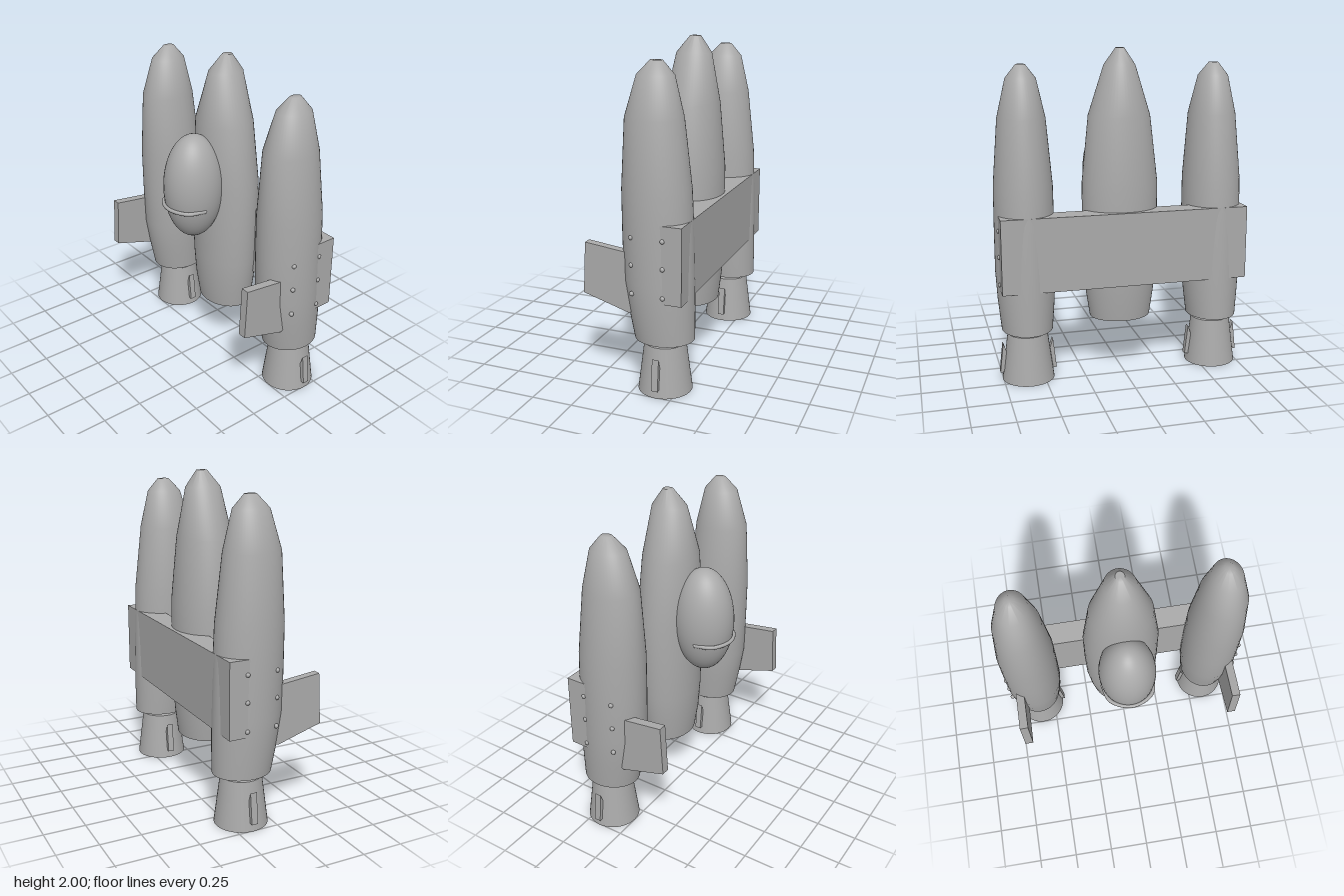
import * as THREE from 'three';
import { toCreasedNormals } from 'three/addons/utils/BufferGeometryUtils.js';

const hullGrey = new THREE.MeshStandardMaterial({ color: 0xaaaaaa });
hullGrey.name = 'hullGrey';

function add(parent, name, geometry, x = 0, y = 0, z = 0) {
  const mesh = new THREE.Mesh(geometry, hullGrey);
  mesh.name = name;
  mesh.position.set(x, y, z);
  parent.add(mesh);
  return mesh;
}

// Elliptical hull from rows of [y, half width, front z, back z]
function hull(rows) {
  const ring = 48;
  const ends = [[rows[0][0], 0], ...rows, [rows.at(-1)[0], 0]];
  const geo = new THREE.LatheGeometry(ends.map(([y, r]) => new THREE.Vector2(r, y)), ring);
  const pos = geo.attributes.position;
  for (let i = 0; i < pos.count; i++) {
    const k = THREE.MathUtils.clamp((i % ends.length) - 1, 0, rows.length - 1);
    const [, rx, front, back] = rows[k];
    pos.setZ(i, (front + back) / 2 + (pos.getZ(i) / rx) * (front - back) / 2);
  }
  return toCreasedNormals(geo, 0.95);
}

// Flat plate drawn in a plane and centred on its thickness
function plate(points, depth) {
  const shape = new THREE.Shape(points.map(([a, b]) => new THREE.Vector2(a, b)));
  return new THREE.ExtrudeGeometry(shape, { depth, bevelEnabled: false }).translate(0, 0, -depth / 2);
}

function createBooster(s) {
  const g = new THREE.Group();
  g.name = s > 0 ? 'leftBooster' : 'rightBooster';
  g.position.x = s * 0.595;

  add(g, 'boosterHull', hull([
    [0.32, 0.155, 0.02, -0.335],
    [0.5, 0.172, 0.055, -0.335],
    [0.68, 0.181, 0.083, -0.332],
    [0.95, 0.18, 0.088, -0.326],
    [1.2, 0.177, 0.09, -0.315],
    [1.6, 0.143, 0.07, -0.27],
    [1.83, 0.09, 0, -0.217],
    [1.91, 0.027, -0.078, -0.15],
  ]));

  // Hollow nozzle: cavity first, then lip and outer wall
  const profile = [[0, 0.14], [0.06, 0.13], [0.1, 0.09], [0.12, 0], [0.16, 0],
    [0.147, 0.1], [0.134, 0.2], [0.122, 0.295], [0, 0.295]];
  const nozzle = new THREE.LatheGeometry(profile.map(([r, y]) => new THREE.Vector2(r, y)), 40);
  add(g, 'nozzle', toCreasedNormals(nozzle, 0.8), 0, 0, -0.16);

  // Small vanes on both sides of the nozzle
  for (const side of [1, -1]) {
    const vane = plate([[0.13, 0.05], [0.175, 0.05], [0.154, 0.238], [0.13, 0.17]], 0.04);
    add(g, 'nozzleVane', vane, 0, 0, -0.16).rotation.y = side > 0 ? 0 : Math.PI;
  }

  // Forward fin, drawn in z and y
  const fin = plate([[0.287, 0.875], [0.053, 0.847], [0, 0.84], [0, 0.49], [0.02, 0.483], [0.303, 0.567]], 0.052);
  fin.rotateY(-Math.PI / 2);
  add(g, 'fin', fin, s * 0.088);

  // Rivets on the outer flank
  for (const y of [0.62, 0.79, 0.95]) {
    for (const [x, z] of [[0.156, -0.02], [0.163, -0.21]]) {
      add(g, 'rivet', new THREE.SphereGeometry(0.014, 12, 8), s * x, y, z);
    }
  }
  return g;
}

export function createModel() {
  const model = new THREE.Group();
  model.name = 'spacecraft';

  add(model, 'centreHull', hull([
    [0.345, 0.19, 0.035, -0.27],
    [0.5, 0.213, 0.058, -0.288],
    [0.68, 0.231, 0.068, -0.297],
    [0.95, 0.235, 0.07, -0.3],
    [1.2, 0.234, 0.07, -0.3],
    [1.6, 0.19, 0.066, -0.267],
    [1.9, 0.094, 0, -0.217],
    [2.0, 0.026, -0.085, -0.15],
  ]));

  // Cross wing behind the hulls
  add(model, 'crossWing', new THREE.BoxGeometry(1.52, 0.452, 0.14), 0, 0.811, -0.252);

  // Egg shaped cockpit with a thin rail round its nose
  const cockpit = new THREE.SphereGeometry(1, 40, 28).scale(0.173, 0.336, 0.19);
  add(model, 'cockpit', cockpit, 0, 1.22, 0.135);
  const rail = new THREE.CatmullRomCurve3([[-0.16, 0.16], [-0.125, 0.27], [0, 0.322], [0.125, 0.27], [0.16, 0.16]]
    .map(([x, z]) => new THREE.Vector3(x, 1.115, z)));
  add(model, 'cockpitRail', new THREE.TubeGeometry(rail, 32, 0.012, 10));

  for (const s of [1, -1]) model.add(createBooster(s));
  return model;
}
